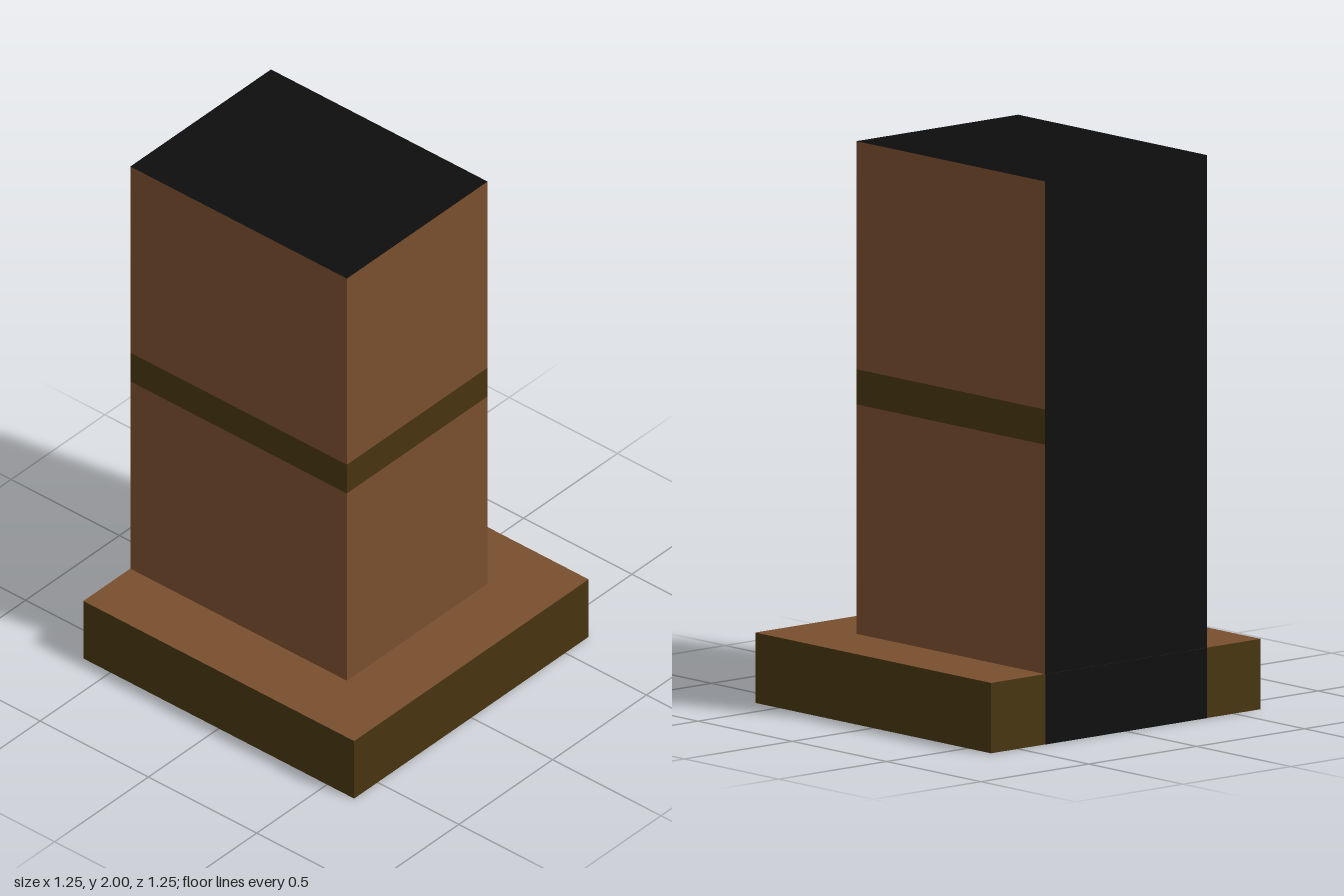
import * as THREE from 'three';

const material = (name, color) => {
  const m = new THREE.MeshStandardMaterial({ color });
  m.name = name;
  return m;
};

export function createModel() {
  const brown = material('brown', 0x784e2e);
  const olive = material('darkOlive', 0x46340f);
  const black = material('black', 0x0d0d0d);

  const group = new THREE.Group();
  group.name = 'pillar';

  const BACK = -0.625;

  // Box from y0 to y1 whose rear face lies on the common back plane
  const block = (name, width, depth, y0, y1, { side, top = side, bottom = side, back = side }) => {
    const mesh = new THREE.Mesh(
      new THREE.BoxGeometry(width, y1 - y0, depth),
      [side, side, top, bottom, side, back] // +x, -x, +y, -y, +z, -z
    );
    mesh.position.set(0, (y0 + y1) / 2, BACK + depth / 2);
    mesh.name = name;
    group.add(mesh);
  };

  // Square plinth
  block('base', 1.25, 1.25, 0, 0.25, { side: olive, top: brown, bottom: black });

  // Column in three courses, with a dark band between the brown ones
  block('lowerColumn', 0.75, 1, 0.25, 1.065, { side: brown, back: black });
  block('band', 0.75, 1, 1.065, 1.19, { side: olive, back: black });
  block('upperColumn', 0.75, 1, 1.19, 2, { side: brown, top: black, back: black });

  // Black back strip carried down across the plinth
  const strip = new THREE.Mesh(new THREE.PlaneGeometry(0.75, 0.25), black);
  strip.name = 'baseBackStrip';
  strip.rotation.y = Math.PI;
  strip.position.set(0, 0.125, BACK - 0.002);
  group.add(strip);

  return group;
}
